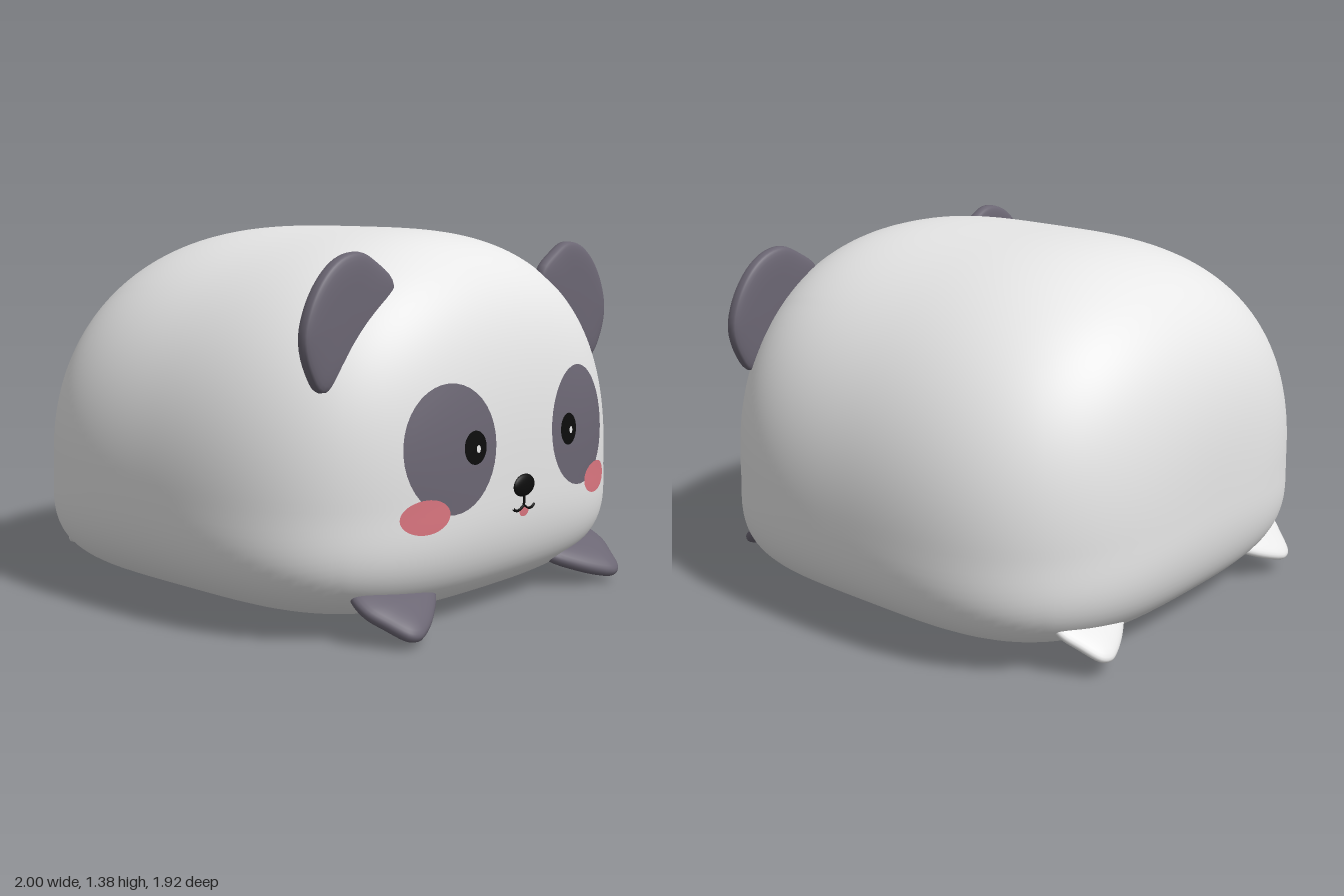
import * as THREE from 'three';
import { mergeVertices } from 'three/addons/utils/BufferGeometryUtils.js';

const mat = (name, color) => {
  const m = new THREE.MeshStandardMaterial({ color });
  m.name = name;
  return m;
};

// Body: a superellipsoid, flatter below and boxier towards the front.
const MID = 0.47;
function bodyLevel(x, y, z) {
  const nx = Math.abs(x);
  const ny = Math.abs((y - MID) / (y > MID ? 0.91 : 0.465));
  const nz = Math.abs(z / (z > 0 ? 0.94 : 0.963));
  const p = y > MID ? 2.2 : 3.3;
  const extra = y < MID ? 1.8 : z > 0 ? 1.2 : 0;
  const q = 3 + extra * ny * ny / (nx * nx + ny * ny + nz * nz);
  const xy = Math.pow(Math.pow(nx, p) + Math.pow(ny, p), 1 / p);
  return Math.pow(Math.pow(xy, q) + Math.pow(nz, q), 1 / q);
}

// Front surface depth of the body at (x, y)
function frontZ(x, y) {
  let lo = 0, hi = 1;
  for (let i = 0; i < 24; i++) {
    const z = (lo + hi) / 2;
    if (bodyLevel(x, y, z) < 1) lo = z; else hi = z;
  }
  return lo;
}

function smooth(geo) {
  geo.deleteAttribute('uv');
  geo.deleteAttribute('normal');
  const g = mergeVertices(geo, 1e-5);
  g.computeVertexNormals();
  return g;
}

function bodyGeometry() {
  const geo = new THREE.BoxGeometry(2, 2, 2, 48, 48, 48);
  const pos = geo.attributes.position;
  const v = new THREE.Vector3();
  for (let i = 0; i < pos.count; i++) {
    v.fromBufferAttribute(pos, i);
    // spread the grid evenly over the sphere before projecting
    v.set(Math.tan(v.x * Math.PI / 4), Math.tan(v.y * Math.PI / 4), Math.tan(v.z * Math.PI / 4)).normalize();
    const r = 1 / bodyLevel(v.x, v.y + MID, v.z);
    pos.setXYZ(i, v.x * r, MID + v.y * r, v.z * r);
  }
  return smooth(geo);
}

// Cushion with a counter-clockwise outline; a lower e makes flatter faces
function pillow(points, side, halfThickness, e) {
  let pts = points.map(([x, y]) => new THREE.Vector3(x * side, y, 0));
  if (side < 0) pts = pts.reverse();
  const curve = new THREE.CatmullRomCurve3(pts, true, 'centripetal');
  const mid = pts.reduce((s, p) => s.add(p), new THREE.Vector3()).divideScalar(pts.length);
  const geo = new THREE.SphereGeometry(1, 48, 16);
  const { position: pos, uv } = geo.attributes;
  for (let i = 0; i < pos.count; i++) {
    const c = pos.getY(i);
    const r = Math.pow(Math.max(0, 1 - c * c), e / 2);
    const p = curve.getPoint(((uv.getX(i) % 1) + 1) % 1).sub(mid).multiplyScalar(r).add(mid);
    pos.setXYZ(i, p.x, p.y, Math.sign(c) * Math.pow(Math.abs(c), e) * halfThickness);
  }
  return smooth(geo);
}

// Thin elliptical patch that hugs the face
function decal(cx, cy, rx, ry, lift, segments = 40) {
  const geo = new THREE.RingGeometry(0, 1, segments, 8);
  const pos = geo.attributes.position;
  for (let i = 0; i < pos.count; i++) {
    const x = cx + pos.getX(i) * rx, y = cy + pos.getY(i) * ry;
    pos.setXYZ(i, x, y, frontZ(x, y) + lift);
  }
  geo.computeVertexNormals();
  return geo;
}

// Fine line drawn over the face
function faceLine(points) {
  const pts = points.map(([x, y]) => new THREE.Vector3(x, y, frontZ(x, y) + 0.002));
  return new THREE.TubeGeometry(new THREE.CatmullRomCurve3(pts), 16, 0.005, 6);
}

const EAR = [[0.87, 1.04], [0.84, 1.15], [0.77, 1.25], [0.69, 1.305], [0.6, 1.32], [0.52, 1.285],
  [0.43, 1.21], [0.45, 1.08], [0.58, 0.95], [0.78, 0.86], [0.84, 0.93]];
const FOOT = [[0.59, 0], [0.63, 0.015], [0.675, 0.09], [0.71, 0.17], [0.69, 0.26], [0.5, 0.3],
  [0.36, 0.26], [0.335, 0.18], [0.44, 0.075], [0.55, 0.01]];

export function createModel() {
  const group = new THREE.Group();
  group.name = 'plushAnimal';
  const bodyMat = mat('soft white', 0xeeeeee);
  const pawMat = mat('bright white', 0xffffff);
  const dark = mat('charcoal purple', 0x6b6673);
  const black = mat('black', 0x0c0c0c);
  const pink = mat('blush pink', 0xdb7680);

  const add = (name, geo, material) => {
    const mesh = new THREE.Mesh(geo, material);
    mesh.name = name;
    group.add(mesh);
    return mesh;
  };

  add('body', bodyGeometry(), bodyMat);

  for (const side of [1, -1]) {
    const label = side > 0 ? 'left' : 'right';
    // Ears
    add(label + 'Ear', pillow(EAR, side, 0.033, 0.5), dark).position.z = 0.678;
    // Feet slope down and outwards from the body
    const front = add(label + 'FrontFoot', pillow(FOOT, side, 0.042, 0.85), dark);
    front.rotation.x = -Math.PI / 3;
    front.position.set(0, 0.04, 0.955);
    const back = add(label + 'BackFoot', pillow(FOOT, side, 0.032, 0.85), pawMat);
    back.rotation.x = THREE.MathUtils.degToRad(55);
    back.position.set(0, 0.07, -0.92);
    // Face patches
    add(label + 'EyePatch', decal(side * 0.375, 0.65, 0.208, 0.225, 0.005), dark);
    add(label + 'Eye', decal(side * 0.278, 0.647, 0.055, 0.059, 0.008), black);
    add(label + 'EyeGlint', decal(side * 0.278 + 0.011, 0.642, 0.011, 0.014, 0.011, 8), pawMat);
    add(label + 'Cheek', decal(side * 0.503, 0.433, 0.101, 0.06, 0.009), pink);
    // Mouth halves
    add(label + 'Mouth', faceLine([[0, 0.402], [side * 0.03, 0.388], [side * 0.05, 0.39], [side * 0.064, 0.4]]), black);
  }

  // Nose, lip line and tongue
  const nose = add('nose', new THREE.SphereGeometry(1, 32, 16), black);
  nose.scale.set(0.061, 0.041, 0.016);
  nose.position.set(0, 0.476, frontZ(0, 0.476));
  add('lipLine', faceLine([[0, 0.45], [0, 0.425], [0, 0.4]]), black);
  add('tongue', decal(0, 0.382, 0.027, 0.019, 0.005), pink);

  return group;
}
